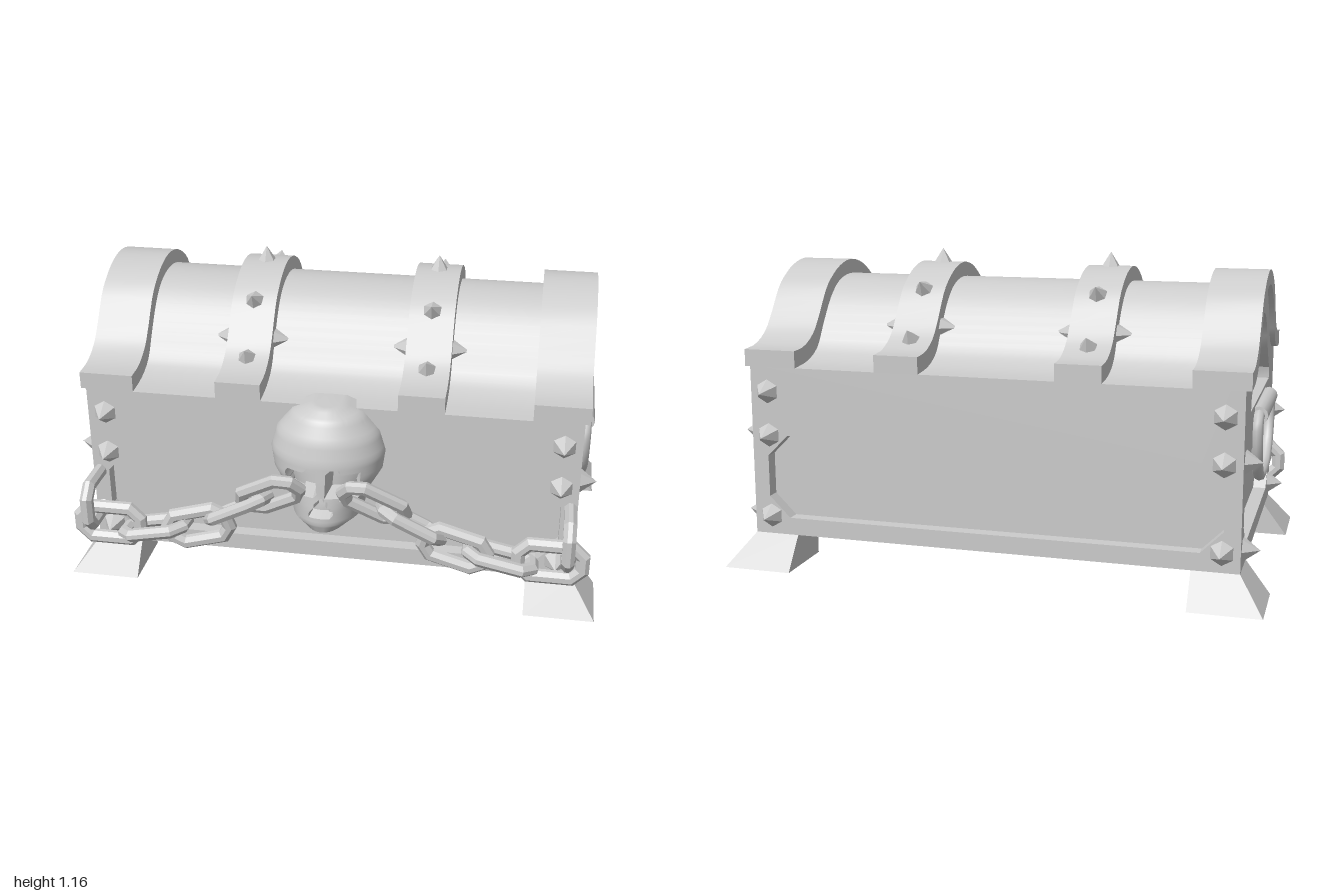
import * as THREE from 'three';
import { toCreasedNormals } from 'three/addons/utils/BufferGeometryUtils.js';

const ZC = -0.063; // centre of the chest in z
const HALF_X = 0.91, HALF_Z = 0.527, BOTTOM = 0.12, RIM = 0.757, RECESS = 0.05;
const grey = new THREE.MeshStandardMaterial({ color: 0xcccccc });
const flat = new THREE.MeshStandardMaterial({ color: 0xcccccc, flatShading: true });

const v2 = (pts) => pts.map(([x, y]) => new THREE.Vector2(x, y));
const mirrorPts = (half) => [...half, ...half.slice(0, -1).reverse().map(([x, y]) => [-x, y])];
const arch = (half, n = 36) => new THREE.SplineCurve(v2(mirrorPts(half))).getPoints(n);

// Ogee curves of the lid, from the front edge over the top to the back edge
const innerCurve = arch([[0.527, 0.757], [0.42, 0.767], [0.33, 0.805], [0.267, 0.89], [0.195, 0.98], [0.11, 1.038], [0, 1.057]]);
const outerCurve = arch([[0.527, 0.82], [0.44, 0.827], [0.36, 0.865], [0.305, 0.925], [0.232, 1.02], [0.16, 1.07], [0.087, 1.1], [0, 1.113]]);
const nicheCurve = arch([[0.34, 0.65], [0.333, 0.695], [0.29, 0.735], [0.23, 0.8], [0.175, 0.88], [0.1, 0.935], [0, 0.95]], 24);

// Rectangle with cut corners
function octagon(hw, hh, c, cy = 0) {
  return v2([[hw - c, -hh], [hw, c - hh], [hw, hh - c], [hw - c, hh],
    [c - hw, hh], [-hw, hh - c], [-hw, c - hh], [c - hw, -hh]]).map((p) => p.setY(p.y + cy));
}

function shapeOf(points, ...holes) {
  const s = new THREE.Shape(points);
  s.holes = holes.map((h) => new THREE.Path(h));
  return s;
}

function add(parent, name, geometry, material = grey) {
  const m = new THREE.Mesh(geometry, material);
  m.name = name;
  parent.add(m);
  return m;
}

// Extrude a z-y profile along x, from x0 to x1
function extrudeX(shape, x0, x1) {
  const g = new THREE.ExtrudeGeometry(shape, { depth: x1 - x0, bevelEnabled: false });
  g.rotateY(Math.PI / 2).translate(x0, 0, ZC);
  return toCreasedNormals(g, 0.5);
}

function addSpike(parent, pos, dir, r, h) {
  const m = add(parent, 'spike', new THREE.ConeGeometry(r, h, 6).translate(0, h / 2, 0), flat);
  m.position.set(...pos);
  m.quaternion.setFromUnitVectors(new THREE.Vector3(0, 1, 0), new THREE.Vector3(...dir).normalize());
}

function buildBody(root) {
  const body = new THREE.Group();
  body.name = 'body';
  root.add(body);
  const dz = HALF_Z - RECESS, dx = HALF_X - RECESS;
  // Solid core with the lid vault on top
  const core = shapeOf([...v2([[-dz, RIM], [-dz, BOTTOM], [dz, BOTTOM], [dz, RIM]]), ...innerCurve]);
  add(body, 'core', extrudeX(core, -dx, dx));
  // End walls with a panel recess and an arched niche
  const end = shapeOf([...v2([[-HALF_Z, BOTTOM], [HALF_Z, BOTTOM]]), ...innerCurve],
    octagon(0.46, 0.158, 0.08, 0.343), nicheCurve);
  add(body, 'leftEndWall', extrudeX(end, dx, HALF_X));
  add(body, 'rightEndWall', extrudeX(end, -HALF_X, -dx));
  // Front and back walls with a long panel recess
  const wall = shapeOf(v2([[-dx, BOTTOM], [dx, BOTTOM], [dx, RIM], [-dx, RIM]]), octagon(0.85, 0.158, 0.08, 0.343));
  const wallGeo = new THREE.ExtrudeGeometry(wall, { depth: RECESS, bevelEnabled: false });
  add(body, 'frontWall', wallGeo).position.z = ZC + dz;
  add(body, 'backWall', wallGeo).position.z = ZC - HALF_Z;
}

function buildLidBands(root) {
  const strip = shapeOf([...outerCurve, ...[...innerCurve].reverse()]);
  for (const s of [-1, 1]) {
    for (const [name, x, w] of [['endBand', 0.83, 0.2], ['middleBand', 0.335, 0.168]])
      add(root, name, extrudeX(strip, s * x - w / 2, s * x + w / 2));
    // Spikes over and beside the middle band
    const x = s * 0.335;
    addSpike(root, [x, 1.108, ZC], [0, 1, 0], 0.037, 0.057);
    for (const k of [-1, 1]) {
      addSpike(root, [x, 1.025, ZC + k * 0.222], [0, 0.6, k * 0.8], 0.037, 0.057);
      addSpike(root, [x, 0.853, ZC + k * 0.37], [0, 0.75, k * 0.65], 0.037, 0.057);
      for (const side of [-1, 1])
        addSpike(root, [x + side * 0.082, 0.89, ZC + k * 0.257], [side, 0, 0], 0.042, 0.068);
    }
  }
}

function buildCorners(root) {
  for (const sx of [-1, 1]) for (const sz of [-1, 1]) {
    // Foot: a block whose outer sides flare towards the ground
    const g = new THREE.BoxGeometry(1, 1, 1).toNonIndexed(), p = g.attributes.position;
    for (let i = 0; i < p.count; i++) {
      const low = p.getY(i) < 0;
      const x = p.getX(i) * sx > 0 ? (low ? 1 : 0.91) : 0.74;
      const z = p.getZ(i) * sz > 0 ? (low ? 0.617 : 0.527) : 0.357;
      p.setXYZ(i, sx * x, low ? 0 : BOTTOM, ZC + sz * z);
    }
    g.computeVertexNormals();
    add(root, 'foot', g);
    // Corner studs
    for (const y of [0.19, 0.5, 0.665])
      addSpike(root, [sx * 0.845, y, ZC + sz * HALF_Z], [0, 0, sz], 0.045, 0.066);
    for (const y of [0.19, 0.5])
      addSpike(root, [sx * HALF_X, y, ZC + sz * 0.46], [sx, 0, 0], 0.045, 0.06);
  }
}

function buildHandles(root) {
  const half = [[0.18, 0.612], [0.234, 0.595], [0.238, 0.52], [0.2, 0.43], [0.12, 0.37], [0, 0.355]];
  const path = new THREE.CatmullRomCurve3(mirrorPts(half).map(([d, y]) => new THREE.Vector3(0, y, d)));
  for (const s of [-1, 1]) {
    const handle = new THREE.Group();
    handle.name = s > 0 ? 'leftHandle' : 'rightHandle';
    handle.position.set(s * 0.925, 0, ZC);
    root.add(handle);
    add(handle, 'ring', new THREE.TubeGeometry(path, 40, 0.021, 8));
    add(handle, 'bar', toCreasedNormals(new THREE.CylinderGeometry(0.033, 0.033, 0.394, 12).rotateX(Math.PI / 2), 0.7))
      .position.y = 0.608;
  }
}

function buildSkull(root) {
  // Rows of height, half width and depth
  const rows = [[0.777, 0, 0], [0.775, 0.06, 0.07], [0.745, 0.13, 0.115], [0.675, 0.188, 0.152], [0.6, 0.21, 0.17],
    [0.53, 0.2, 0.173], [0.47, 0.165, 0.174], [0.42, 0.142, 0.18], [0.36, 0.13, 0.18], [0.325, 0.085, 0.165], [0.31, 0, 0]];
  const STEPS = 4, COLS = 40, pos = [], index = [];
  const N = (rows.length - 1) * STEPS;
  for (let i = 0; i <= N; i++) {
    const k = Math.min(Math.floor(i / STEPS), rows.length - 2), f = i / STEPS - k;
    const [y, w, d] = rows[k].map((a, n) => a + (rows[k + 1][n] - a) * f);
    for (let j = 0; j <= COLS; j++) {
      const t = (Math.min(Math.max(j - 1, 0), COLS - 2) / (COLS - 2) - 0.5) * Math.PI;
      const x = w * Math.sin(t);
      let z = j === 0 || j === COLS ? 0.4 : 0.46 + d * Math.cos(t);
      // Eye sockets and nose hole are pressed in
      const eye = Math.abs(Math.abs(x) - 0.077) < 0.05 && Math.abs(y - 0.515 + 0.25 * (Math.abs(x) - 0.077)) < 0.047;
      const nose = y > 0.4 && y < 0.465 && Math.abs(x) < 0.035 * (0.475 - y) / 0.07;
      if (z > 0.5 && eye) z -= 0.08;
      else if (nose) z -= 0.04;
      pos.push(x, y, z);
      if (i < N && j < COLS) {
        const a = i * (COLS + 1) + j, c = a + COLS + 1;
        index.push(a, c, a + 1, a + 1, c, c + 1);
      }
    }
  }
  const g = new THREE.BufferGeometry();
  g.setAttribute('position', new THREE.Float32BufferAttribute(pos, 3));
  g.setIndex(index);
  add(root, 'skull', toCreasedNormals(g, 0.6));
}

function buildChains(root) {
  const linkGeo = (len, wid) => new THREE.ExtrudeGeometry(
    shapeOf(octagon(len / 2 - 0.015, wid / 2 - 0.015, 0.045), octagon(len / 2 - 0.035, wid / 2 - 0.035, 0.03)),
    { depth: 0.016, bevelThickness: 0.015, bevelSize: 0.015, bevelSegments: 1 }).translate(0, 0, -0.008);
  const g = linkGeo(0.28, 0.18), endGeo = linkGeo(0.25, 0.21);
  // Position, then roll about the length, turn about y and tilt in the front plane
  const links = [
    [0.19, 0.455, 0.605, 0.5, 0.25, -0.56],
    [0.32, 0.365, 0.57, 1.25, 0.12, -0.52],
    [0.48, 0.265, 0.555, 0.15, 0, -0.28],
    [0.645, 0.25, 0.565, 1.45, 0, -0.2],
    [0.825, 0.245, 0.555, 0, 0, 0],
  ];
  for (const s of [-1, 1]) {
    const chain = new THREE.Group();
    chain.name = s > 0 ? 'leftChain' : 'rightChain';
    root.add(chain);
    for (const [x, y, z, roll, turn, tilt] of links) {
      const m = add(chain, 'link', g);
      m.position.set(s * x, y, z);
      m.rotation.set(roll, s * turn, s * tilt, 'ZYX');
    }
    // Last link stands out from the wall
    const last = add(chain, 'wallLink', endGeo);
    last.position.set(s * 0.885, 0.335, 0.525);
    last.rotation.y = Math.PI / 2;
  }
}

export function createModel() {
  const root = new THREE.Group();
  root.name = 'chest';
  buildBody(root);
  buildLidBands(root);
  buildCorners(root);
  buildHandles(root);
  buildSkull(root);
  buildChains(root);
  return root;
}
